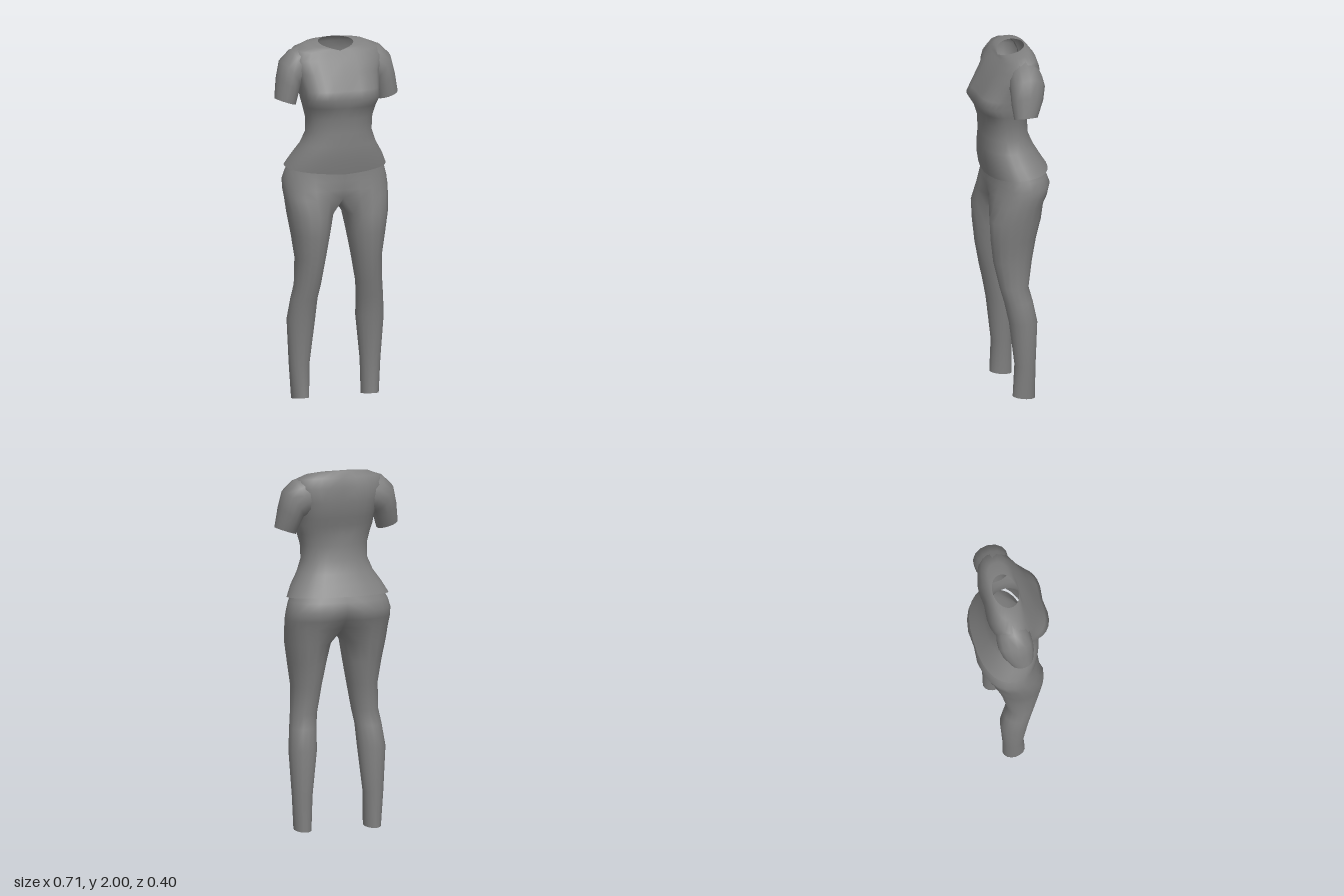
import * as THREE from 'three';
import { mergeGeometries, mergeVertices } from 'three/addons/utils/BufferGeometryUtils.js';

// Skin a list of rings (arrays of [x, y, z]) with quads; side = -1 mirrors in x
function loft(rings, closed, side = 1) {
  const n = rings[0].length, index = [];
  const flat = rings.flat().flatMap(([x, y, z]) => [x * side, y, z]);
  for (let i = 0; i < rings.length - 1; i++) {
    for (let j = 0; j < (closed ? n : n - 1); j++) {
      const k = (j + 1) % n;
      const a = i * n + j, b = i * n + k, c = b + n, d = a + n;
      if (side > 0) index.push(a, b, c, a, c, d);
      else index.push(a, c, b, a, d, c);
    }
  }
  const g = new THREE.BufferGeometry();
  g.setAttribute('position', new THREE.Float32BufferAttribute(flat, 3));
  g.setIndex(index);
  return g;
}

function smooth(parts) {
  const g = mergeVertices(mergeGeometries(parts), 1e-4);
  g.computeVertexNormals();
  return g;
}

const spow = (v, e) => Math.sign(v) * Math.pow(Math.abs(v), e);

// Body section point: t = 0 at the front, 90 degrees at the left side, 180 at the back.
// cf and cb are the depths of the centre hollow in front and behind.
function bodyPoint(t, { yf, yb = yf, hw, zf, zb, n = 2.3, cf = 0, cb = 0 }) {
  const zc = (zf + zb) / 2, rz = (zf - zb) / 2;
  const x = hw * spow(Math.sin(t), 2 / n);
  const c = spow(Math.cos(t), 2 / n);
  const hollow = Math.exp(-((x / 0.07) ** 2));
  const z = zc + rz * c - hollow * (c > 0 ? cf : -cb) * Math.abs(c);
  const u = (1 - c) / 2;
  return [x, yf + (yb - yf) * Math.sqrt(Math.max(u, 0)), z];
}

// Shirt body from hem to neckline
function shirtBody() {
  const sections = [
    { yf: 1.27, yb: 1.315, hw: 0.287, zf: 0.14, zb: -0.195 },
    { yf: 1.35, yb: 1.37, hw: 0.255, zf: 0.155, zb: -0.16 },
    { yf: 1.43, hw: 0.212, zf: 0.16, zb: -0.125 },
    { yf: 1.5, hw: 0.185, zf: 0.157, zb: -0.095 },
    { yf: 1.58, hw: 0.187, zf: 0.16, zb: -0.088, n: 2.4 },
    { yf: 1.645, hw: 0.203, zf: 0.178, zb: -0.095, n: 2.6, cb: 0.01 },
    { yf: 1.695, hw: 0.217, zf: 0.212, zb: -0.105, n: 2.9, cf: 0.015, cb: 0.01 },
    { yf: 1.74, hw: 0.217, zf: 0.19, zb: -0.122, n: 2.9, cf: 0.01, cb: 0.012 },
    { yf: 1.83, hw: 0.238, zf: 0.138, zb: -0.147, n: 2.7, cb: 0.014 },
    { yf: 1.895, yb: 1.91, hw: 0.265, zf: 0.1, zb: -0.14, n: 2.6, cb: 0.012 },
    { yf: 1.93, yb: 1.965, hw: 0.24, zf: 0.07, zb: -0.122, n: 2.5 },
    { yf: 1.942, yb: 1.995, hw: 0.175, zf: 0.063, zb: -0.1 },
    { yf: 1.945, yb: 2.0, hw: 0.1, zf: 0.06, zb: -0.085, n: 2 },
  ];
  const N = 28;
  const rings = sections.map(s =>
    Array.from({ length: N }, (_, j) => bodyPoint((j / N) * Math.PI * 2, s)));
  return smooth([loft(rings, true)]);
}

// Short sleeve: each ring spans an outer and an inner point, with front and back z
function sleeve(side) {
  const sections = [
    [0.17, 1.98, 0.14, 1.77, 0.05, -0.11],
    [0.255, 1.953, 0.18, 1.757, 0.066, -0.124],
    [0.315, 1.895, 0.207, 1.748, 0.07, -0.124],
    [0.338, 1.8, 0.22, 1.715, 0.07, -0.108],
    [0.355, 1.69, 0.24, 1.652, 0.06, -0.07],
  ];
  const N = 14;
  const rings = sections.map(([ox, oy, ix, iy, zf, zb]) =>
    Array.from({ length: N }, (_, j) => {
      const t = (j / N) * Math.PI * 2, c = Math.cos(t) / 2;
      return [(ox + ix) / 2 + (ox - ix) * c, (oy + iy) / 2 + (oy - iy) * c,
        (zf + zb) / 2 + (zf - zb) / 2 * Math.sin(t)];
    }));
  return smooth([loft(rings, true, side)]);
}

// Trousers: two leg tubes that join the hips along a crotch line at x = 0
function trousers() {
  const M = 12, Q = 4, deg = Math.PI / 180;
  // y, inner x, outer x, front z, back z, from ankle to thigh
  const legs = [
    [0.01, 0.155, 0.25, 0.04, -0.085],
    [0.2, 0.15, 0.263, 0.03, -0.087],
    [0.45, 0.122, 0.278, 0.06, -0.098],
    [0.57, 0.117, 0.264, 0.085, -0.075],
    [0.65, 0.105, 0.252, 0.106, -0.055],
    [0.8, 0.08, 0.246, 0.138, -0.08],
    [0.93, 0.055, 0.266, 0.152, -0.103],
    [1.04, 0.033, 0.285, 0.157, -0.13],
  ];
  const hips = [
    { yf: 1.13, hw: 0.293, zf: 0.155, zb: -0.17, cf: 0.045, cb: 0.055 },
    { yf: 1.18, hw: 0.297, zf: 0.142, zb: -0.193, cf: 0.02, cb: 0.03 },
    { yf: 1.23, hw: 0.294, zf: 0.13, zb: -0.206, cf: 0.005, cb: 0.014 },
    { yf: 1.28, hw: 0.28, zf: 0.122, zb: -0.187, cb: 0.006 },
    { yf: 1.34, hw: 0.247, zf: 0.12, zb: -0.15 },
  ];
  const legRings = legs.map(([y, xi, xo, zf, zb], r) =>
    Array.from({ length: M + Q }, (_, j) => {
      const t = (j <= M ? -50 + (280 * j) / M : 230 + (80 * (j - M)) / Q) * deg;
      const c = Math.cos(t);
      return [(xi + xo) / 2 + (xo - xi) / 2 * Math.sin(t),
        y + (r === 0 ? 0.008 * c : 0), (zf + zb) / 2 + (zf - zb) / 2 * c];
    }));
  const hipRings = hips.map(s =>
    Array.from({ length: M + 1 }, (_, j) => bodyPoint((j / M) * Math.PI, s)));
  // Crotch line from back to front closes the top ring of each leg
  const split = hipRings[0], front = split[0], back = split[M];
  const crotch = Array.from({ length: Q - 1 }, (_, j) => {
    const u = (j + 1) / Q;
    return [0, 1.13 - 0.05 * Math.sin(u * Math.PI), back[2] + (front[2] - back[2]) * u];
  });
  legRings.push([...split, ...crotch]);
  return smooth([1, -1].flatMap(s => [loft(legRings, true, s), loft(hipRings, false, s)]));
}

export function createModel() {
  const model = new THREE.Group();
  model.name = 'outfit';
  const cloth = new THREE.MeshStandardMaterial({ color: 0x808080, side: THREE.DoubleSide });
  cloth.name = 'grey cloth';
  const add = (geometry, name) => {
    const mesh = new THREE.Mesh(geometry, cloth);
    mesh.name = name;
    model.add(mesh);
  };
  add(shirtBody(), 'shirtBody');
  add(sleeve(1), 'leftSleeve');
  add(sleeve(-1), 'rightSleeve');
  add(trousers(), 'trousers');
  return model;
}
